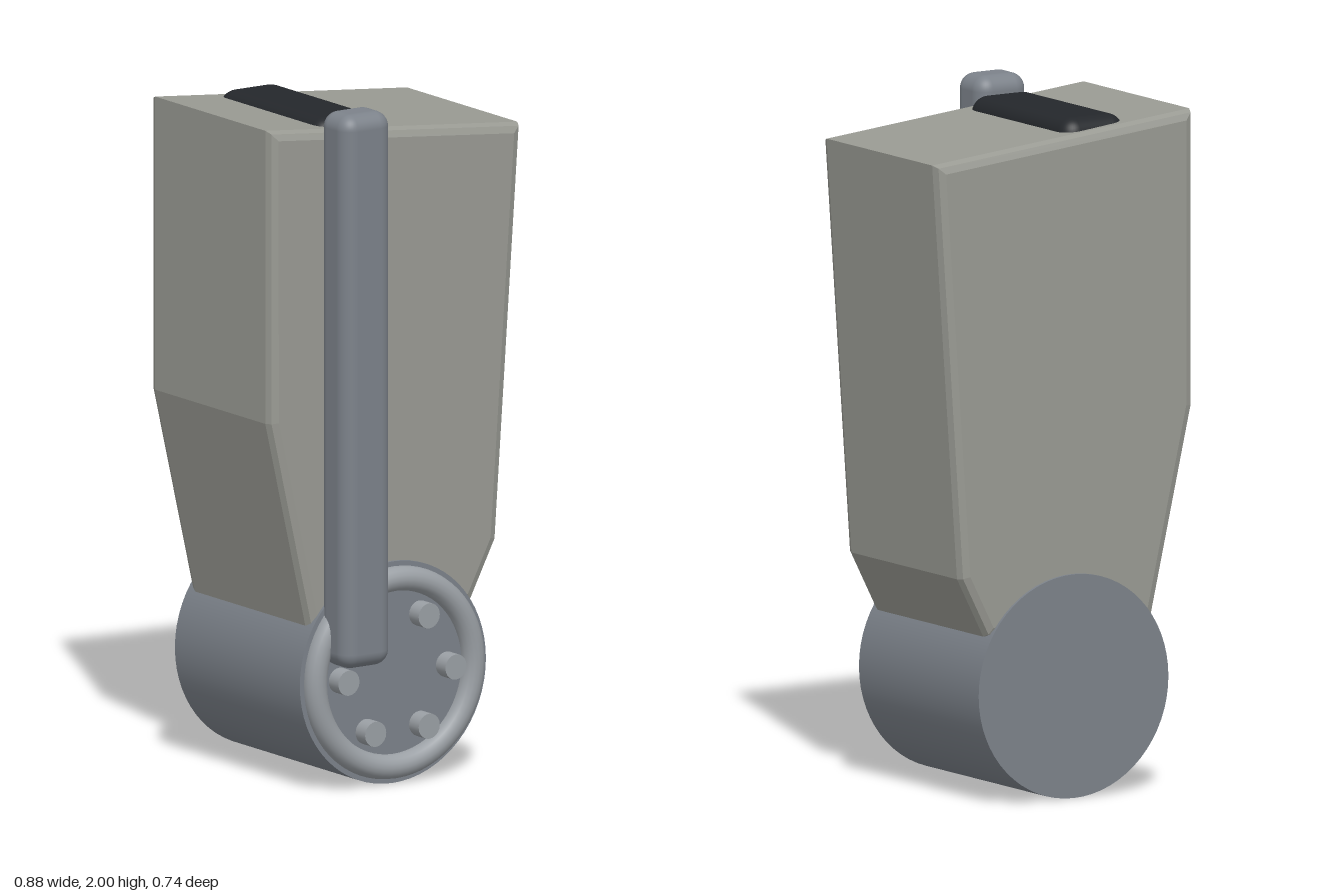
import * as THREE from 'three';
import { RoundedBoxGeometry } from 'three/addons/geometries/RoundedBoxGeometry.js';

export function createModel() {
  const group = new THREE.Group();
  const shell = new THREE.MeshStandardMaterial({ color: 0x999a93 });
  const metal = new THREE.MeshStandardMaterial({ color: 0x7c828a });
  const bright = new THREE.MeshStandardMaterial({ color: 0x9a9fa4 });
  const dark = new THREE.MeshStandardMaterial({ color: 0x24272b });

  const add = (name, geometry, material, x, y, z) => {
    const mesh = new THREE.Mesh(geometry, material);
    mesh.name = name;
    mesh.position.set(x, y, z);
    group.add(mesh);
    return mesh;
  };

  // Tapered body: side outline extruded along z with a small bevel
  const outline = [
    [-0.30, 0.49], [0.265, 0.49], [0.355, 0.665],
    [0.44, 1.875], [-0.44, 1.96], [-0.44, 1.10],
  ].map(([x, y]) => new THREE.Vector2(x, y));
  const bevel = 0.028;
  const body = new THREE.ExtrudeGeometry(new THREE.Shape(outline), {
    depth: 0.607 - 2 * bevel, bevelEnabled: true, bevelThickness: bevel,
    bevelSize: bevel, bevelOffset: -bevel, bevelSegments: 2,
  });
  add('body', body, shell, 0, 0, -0.361 + bevel);

  // Drum at the foot, its axis along z
  const cx = -0.02, cy = 0.325;
  const drum = new THREE.CylinderGeometry(0.325, 0.325, 0.625, 64).rotateX(Math.PI / 2);
  add('drum', drum, metal, cx, cy, -0.0575);

  // Raised ring and bolts on the drum's front
  add('drumRing', new THREE.TorusGeometry(0.275, 0.036, 16, 64), bright, cx, cy, 0.258);
  const bolt = new THREE.CylinderGeometry(0.037, 0.037, 0.06, 20).rotateX(Math.PI / 2);
  for (let i = 0; i < 6; i++) {
    const a = i * Math.PI / 3;
    add('bolt', bolt, bright, cx + 0.187 * Math.cos(a), cy + 0.187 * Math.sin(a), 0.273);
  }

  // Upright bar standing in front of the body
  add('frontBar', new RoundedBoxGeometry(0.17, 1.625, 0.139, 5, 0.045), metal, -0.178, 1.1875, 0.2965);

  // Dark pad sunk into the sloping top
  add('topPad', new RoundedBoxGeometry(0.216, 0.12, 0.53, 5, 0.05), dark, -0.136, 1.9, -0.057);

  return group;
}
